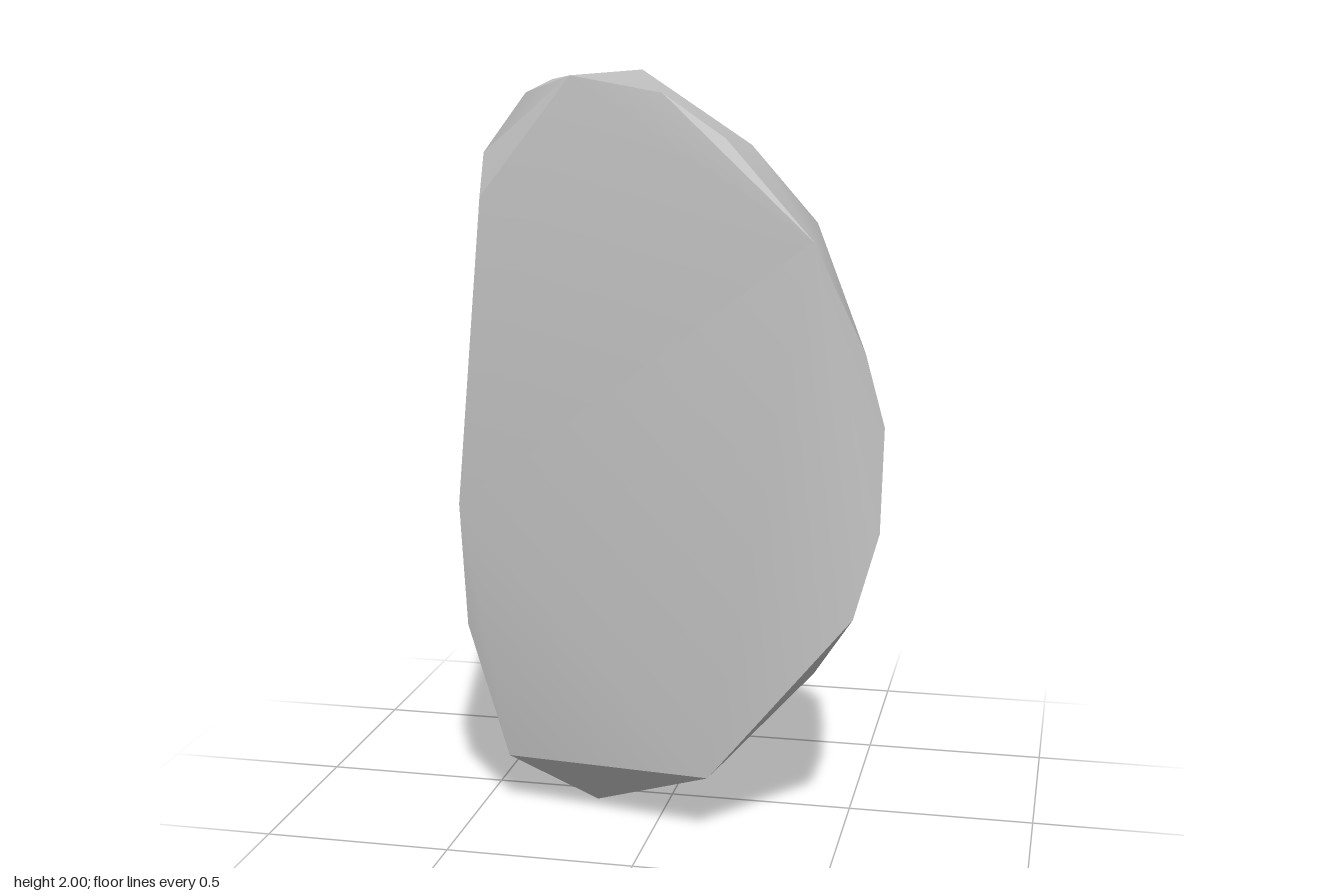
import * as THREE from 'three';
import { ConvexGeometry } from 'three/addons/geometries/ConvexGeometry.js';
import { toCreasedNormals } from 'three/addons/utils/BufferGeometryUtils.js';

// Corners of the broad front facet and its bevels
const front = [
  [-0.2, 2.0, 0.29], [-0.45, 1.69, 0.26], [-0.52, 0.88, 0.27], [-0.52, 0.53, 0.215],
  [-0.42, 0.15, 0.18], [0.16, 0.18, 0.31], [0.54, 0.65, 0.345], [0.43, 1.61, 0.375],
  [0.04, 1.96, 0.31], [0.2, 1.85, 0.305],
];
// Corners around the sides, crown and foot
const sides = [
  [0.55, 1.32, 0.265], [0.6, 1.13, 0.25], [0.6, 0.87, 0.315], [0.545, 0.77, -0.015],
  [0.43, 0.47, 0.25], [0.0, 0.08, -0.1], [-0.19, 0.01, 0.1], [-0.39, 0.07, -0.09],
  [-0.5, 0.18, -0.22], [-0.36, 1.95, 0.13], [-0.455, 1.8, 0.2],
];
// Corners of the broad slanted back facet
const back = [
  [-0.12, 2.0, -0.175], [-0.39, 1.97, -0.24], [-0.51, 1.8, -0.285], [-0.55, 1.54, -0.32],
  [-0.59, 1.06, -0.36], [-0.6, 0.68, -0.375], [-0.575, 0.39, -0.315], [-0.26, 0, -0.352],
  [0.34, 0.4, -0.085], [0.56, 1.02, -0.08], [0.38, 1.61, -0.055], [0.2, 1.81, -0.07],
];

export function createModel() {
  const stone = new THREE.MeshStandardMaterial({ color: 0xc4c4c4 });
  stone.name = 'stone grey';

  const points = [...front, ...sides, ...back].map((p) => new THREE.Vector3(...p));
  const rock = new THREE.Mesh(toCreasedNormals(new ConvexGeometry(points), 0.5), stone);
  rock.name = 'rock';

  const group = new THREE.Group();
  group.name = 'boulder';
  group.add(rock);
  return group;
}
